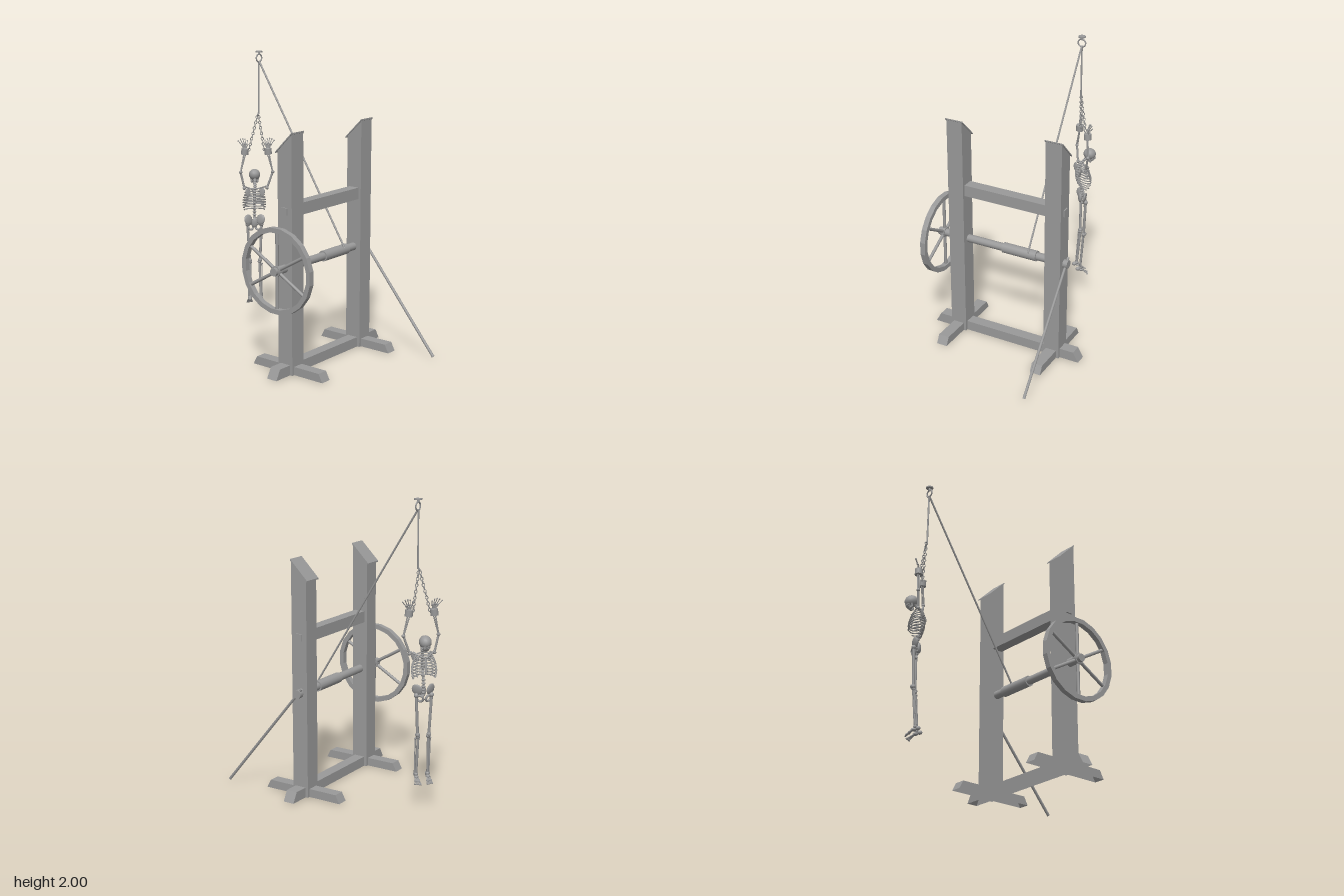
import * as THREE from 'three';

const V = (x, y, z) => new THREE.Vector3(x, y, z);
const flat = new THREE.MeshStandardMaterial({ color: 0x999999, flatShading: true, side: THREE.DoubleSide });
const smooth = new THREE.MeshStandardMaterial({ color: 0x999999, side: THREE.DoubleSide });

function add(parent, name, geo, mat = flat, pos) {
  const m = new THREE.Mesh(geo, mat);
  m.name = name;
  if (pos) m.position.copy(pos);
  parent.add(m);
  return m;
}

function group(parent, name) {
  const g = new THREE.Group();
  g.name = name;
  parent.add(g);
  return g;
}

// Round bar between two points
function rod(parent, name, a, b, r0, r1 = r0, sides = 8) {
  const d = b.clone().sub(a);
  const m = add(parent, name, new THREE.CylinderGeometry(r1, r0, d.length(), sides), smooth, a.clone().lerp(b, 0.5));
  m.quaternion.setFromUnitVectors(V(0, 1, 0), d.normalize());
  return m;
}

function ball(parent, name, p, rx, ry = rx, rz = rx) {
  const m = add(parent, name, new THREE.SphereGeometry(1, 14, 10), smooth, p);
  m.scale.set(rx, ry, rz);
  return m;
}

// Long bone: slim shaft with a knob at both ends
function bone(parent, name, a, b, r) {
  rod(parent, name, a, b, r);
  ball(parent, name + 'Knob', a, r * 1.6);
  ball(parent, name + 'Knob', b, r * 1.6);
}

// Outline in x/y, extruded from z0 to z1
function slab(parent, name, pts, z0, z1, hole) {
  const s = new THREE.Shape(pts.map(p => new THREE.Vector2(p[0], p[1])));
  if (hole) s.holes.push(new THREE.Path(hole.map(p => new THREE.Vector2(p[0], p[1]))));
  return add(parent, name, new THREE.ExtrudeGeometry(s, { depth: z1 - z0, bevelEnabled: false }), flat, V(0, 0, z0));
}

// Leaves a timber hollow underneath by dropping its ground faces
function openBottom(mesh) {
  const p = mesh.geometry.attributes.position, kept = [];
  for (let i = 0; i < p.count; i += 3) {
    if (p.getY(i) + p.getY(i + 1) + p.getY(i + 2) < 1e-5) continue;
    for (let k = i; k < i + 3; k++) kept.push(p.getX(k), p.getY(k), p.getZ(k));
  }
  mesh.geometry = new THREE.BufferGeometry().setAttribute('position', new THREE.Float32BufferAttribute(kept, 3));
  mesh.geometry.computeVertexNormals();
  return mesh;
}

const AX = 0.136, AY = 0.71;

function buildFrame(root) {
  const g = group(root, 'frame');
  for (const s of [-1, 1]) {
    const z = s * 0.36;
    openBottom(slab(g, 'post', [[0.08, 0], [0.195, 0], [0.195, 1.577], [0.08, 1.464]], z - 0.057, z + 0.057));
    slab(g, 'postCap', [[0.067, 1.45], [0.067, 1.459], [0.197, 1.588], [0.197, 1.578]], z - 0.064, z + 0.064);
    openBottom(slab(g, 'crossFoot', [[-0.155, 0], [0.427, 0], [0.397, 0.056], [-0.125, 0.056]], z - 0.038, z + 0.038));
  }
  // Long base beam with chamfered ends
  const beam = openBottom(slab(g, 'baseBeam', [[-0.555, 0], [0.555, 0], [0.517, 0.068], [-0.517, 0.068]], -0.039, 0.039));
  beam.rotation.y = Math.PI / 2;
  beam.position.set(AX - 0.037, 0, 0);
  add(g, 'crossBeam', new THREE.BoxGeometry(0.078, 0.078, 0.62), flat, V(AX + 0.002, 1.084, 0));
  add(g, 'crossBeamTenon', new THREE.BoxGeometry(0.046, 0.046, 0.852), flat, V(AX, 1.084, 0));
}

function buildWinch(root) {
  const g = group(root, 'winch');
  rod(g, 'axle', V(AX, AY, -0.43), V(AX, AY, 0.53), 0.027, 0.027, 12);
  rod(g, 'ropeDrum', V(AX, AY, -0.22), V(AX, AY, 0.03), 0.036, 0.036, 16);
  rod(g, 'wheelHub', V(AX, AY, 0.477), V(AX, AY, 0.508), 0.035, 0.035, 12);
  rod(g, 'leverHub', V(AX, AY, -0.45), V(AX, AY, -0.418), 0.029, 0.029, 12);
  const ring = r => Array.from({ length: 20 }, (_, i) => {
    const a = (i + 0.5) * Math.PI / 10;
    return [AX + r * Math.cos(a), AY + r * Math.sin(a)];
  });
  slab(g, 'wheelRim', ring(0.284), 0.474, 0.511, ring(0.252));
  for (let i = 0; i < 6; i++) {
    const a = Math.PI / 6 + i * Math.PI / 3;
    rod(g, 'wheelSpoke', V(AX, AY, 0.492), V(AX + 0.258 * Math.cos(a), AY + 0.258 * Math.sin(a), 0.492), 0.011);
  }
  rod(g, 'lever', V(0.11, 0.746, -0.434), V(0.718, 0.011, -0.434), 0.009, 0.01);
}

const HX = -0.583, HZ = -0.166;

function buildHoist(root) {
  const g = group(root, 'hoist');
  rod(g, 'ceilingPlate', V(HX, 1.991, HZ), V(HX, 2, HZ), 0.025, 0.025, 14);
  rod(g, 'ceilingStem', V(HX, 1.972, HZ), V(HX, 1.993, HZ), 0.007);
  add(g, 'ringEye', new THREE.TorusGeometry(0.027, 0.005, 8, 20), smooth, V(HX, 1.952, HZ)).rotation.y = Math.PI / 2;
  rod(g, 'hangingRope', V(HX - 0.002, 1.932, HZ), V(-0.589, 1.565, HZ), 0.006);
  rod(g, 'winchRope', V(HX, 1.932, HZ), V(AX + 0.031, AY + 0.019, HZ), 0.0065);
}

// Interlocked oval links from a to b
function chain(parent, a, b, n) {
  const d = b.clone().sub(a), len = d.length() / n;
  const q = new THREE.Quaternion().setFromUnitVectors(V(0, 1, 0), d.clone().normalize());
  for (let i = 0; i < n; i++) {
    const geo = new THREE.TorusGeometry(0.0085, 0.003, 5, 10).scale(1, len / 0.0165, 1);
    geo.rotateY(i % 2 ? Math.PI / 2 : 0);
    add(parent, 'chainLink', geo, smooth, a.clone().lerp(b, (i + 0.5) / n)).quaternion.copy(q);
  }
}

function buildTorso(g) {
  // Spine from pelvis to neck
  const spine = new THREE.CatmullRomCurve3([V(0, 0.76, 0), V(0, 0.85, 0.005), V(0, 0.96, -0.03), V(-0.004, 1.04, -0.015), V(-0.006, 1.09, 0.03)]);
  add(g, 'spine', new THREE.TubeGeometry(spine, 24, 0.008, 8), smooth);
  for (let i = 0; i <= 18; i++) ball(g, 'vertebra', spine.getPoint(i / 18), 0.013, 0.0075, 0.013);
  // Ribs sweep from the spine round to the breastbone
  for (let i = 0; i < 9; i++) {
    const t = i / 8, w = 0.045 + 0.036 * Math.sin(Math.PI * (0.1 + 0.62 * t)), y = 1.035 - 0.142 * t;
    const end = i < 6 ? 0.95 : 0.92 - 0.13 * (i - 5);
    for (const s of [-1, 1]) {
      const pts = [];
      for (let k = 0; k <= 8; k++) {
        const a = Math.PI * end * k / 8;
        pts.push(V(s * w * Math.sin(a), y - 0.034 * (1 - Math.cos(a)) / 2, 0.015 - (0.034 + 0.018 * Math.sin(Math.PI * t)) * Math.cos(a)));
      }
      add(g, 'rib', new THREE.TubeGeometry(new THREE.CatmullRomCurve3(pts), 16, 0.0042, 6), smooth);
    }
  }
  rod(g, 'breastbone', V(0, 1.01, 0.047), V(0, 0.91, 0.068), 0.009, 0.007).scale.z = 0.6;
  for (const s of [-1, 1]) {
    bone(g, 'collarbone', V(s * 0.01, 1.015, 0.046), V(s * 0.076 - 0.008, 1.045, 0), 0.005);
    const blade = ball(g, 'shoulderBlade', V(s * 0.05 - 0.004, 1.008, -0.026), 0.02, 0.033, 0.005);
    blade.rotation.set(0.1, s * 0.5, s * -0.25);
    // Pelvis half: flared wing and lower loop
    const wing = ball(g, 'hipWing', V(s * 0.044, 0.803, 0.014), 0.035, 0.037, 0.011);
    wing.rotation.set(0.2, s * 0.6, s * -0.45);
    const loop = add(g, 'hipLoop', new THREE.TorusGeometry(0.021, 0.0075, 7, 14), smooth, V(s * 0.027, 0.747, 0.026));
    loop.rotation.set(0.3, s * 0.5, 0);
    ball(g, 'hipSocket', V(s * 0.05, 0.768, 0.02), 0.014);
  }
  ball(g, 'sacrum', V(0, 0.785, -0.006), 0.022, 0.036, 0.012);
}

function buildSkull(g) {
  const head = group(g, 'skull');
  head.position.set(-0.006, 1.115, 0.058);
  head.rotation.x = 0.45;
  ball(head, 'cranium', V(0, 0.004, -0.004), 0.04, 0.04, 0.045);
  ball(head, 'face', V(0, -0.018, 0.021), 0.027, 0.027, 0.021);
  add(head, 'jaw', new THREE.TorusGeometry(0.021, 0.0075, 7, 12, Math.PI), smooth, V(0, -0.042, 0.006)).rotation.x = Math.PI / 2;
  for (const s of [-1, 1]) {
    rod(head, 'jawHinge', V(s * 0.021, -0.042, 0.006), V(s * 0.026, -0.012, -0.004), 0.006);
    add(head, 'eyeSocket', new THREE.TorusGeometry(0.0085, 0.003, 6, 12), smooth, V(s * 0.012, -0.009, 0.039));
    ball(head, 'cheekbone', V(s * 0.023, -0.02, 0.022), 0.008, 0.005, 0.012);
  }
}

// Arm raised overhead to its cuff, leaning toward the rope
function buildArm(g, s) {
  const lean = -0.018;
  const shoulder = V(s * 0.08 - 0.01, 1.035, -0.002), elbow = V(s * 0.113 + lean, 1.15, -0.003), wrist = V(s * 0.081 + lean, 1.285, 0.003);
  bone(g, 'upperArm', shoulder, elbow, 0.0075);
  for (const o of [-1, 1])
    bone(g, 'forearm', elbow.clone().add(V(0, 0, o * 0.005)), wrist.clone().add(V(o * 0.006, 0, o * 0.004)), 0.0045);
  rod(g, 'wristCuff', V(s * 0.083 + lean, 1.275, 0.003), V(s * 0.079 + lean, 1.316, 0.003), 0.026, 0.026, 12);
  // Palm bones and spread fingers
  for (let i = 0; i < 5; i++) {
    const f = (i - 2) / 2, base = V(s * 0.08 + lean + f * 0.007, 1.315, 0.003);
    const mid = V(s * 0.084 + lean + f * 0.019, 1.35 - Math.abs(f) * 0.008, 0.008);
    const tip = V(s * 0.094 + lean + f * 0.032, 1.384 - f * f * 0.014, 0.02);
    bone(g, 'palmBone', base, mid, 0.0037);
    bone(g, 'finger', mid, tip, 0.003);
  }
  chain(g, V(s * 0.055 + lean, 1.3, 0), V(-0.03, 1.572, -0.027), 14);
}

function buildLeg(g, s) {
  const hip = V(s * 0.05, 0.767, 0.02), knee = V(s * 0.037, 0.505, 0.016), ankle = V(s * 0.038, 0.235, -0.004);
  bone(g, 'thighBone', hip, knee, 0.0095);
  ball(g, 'kneecap', V(s * 0.037, 0.507, 0.03), 0.011, 0.013, 0.006);
  bone(g, 'shinBone', knee.clone().add(V(-s * 0.004, -0.012, 0)), ankle, 0.0085);
  bone(g, 'calfBone', knee.clone().add(V(s * 0.012, -0.025, -0.008)), ankle.clone().add(V(s * 0.01, 0, -0.004)), 0.0045);
  ball(g, 'heel', V(s * 0.039, 0.228, -0.021), 0.013, 0.014, 0.018);
  ball(g, 'instep', V(s * 0.039, 0.219, 0.004), 0.015, 0.011, 0.018);
  for (let i = 0; i < 5; i++) {
    const f = (i - 2) / 2;
    const mid = V(s * 0.039 + f * 0.014, 0.2, 0.031), tip = V(s * 0.039 + f * 0.018, 0.184, 0.05 - f * s * 0.006);
    bone(g, 'footBone', V(s * 0.039 + f * 0.008, 0.218, 0.01), mid, 0.0038);
    bone(g, 'toe', mid, tip, 0.0035);
  }
}

export function createModel() {
  const root = new THREE.Group();
  root.name = 'gibbetWinch';
  buildFrame(root);
  buildWinch(root);
  buildHoist(root);
  // Skeleton turned away from the winch
  const skeleton = group(root, 'skeleton');
  skeleton.position.set(-0.635, 0, -0.162);
  skeleton.rotation.y = -Math.PI * 0.75;
  buildTorso(skeleton);
  buildSkull(skeleton);
  for (const s of [-1, 1]) {
    buildArm(skeleton, s);
    buildLeg(skeleton, s);
  }
  return root;
}
